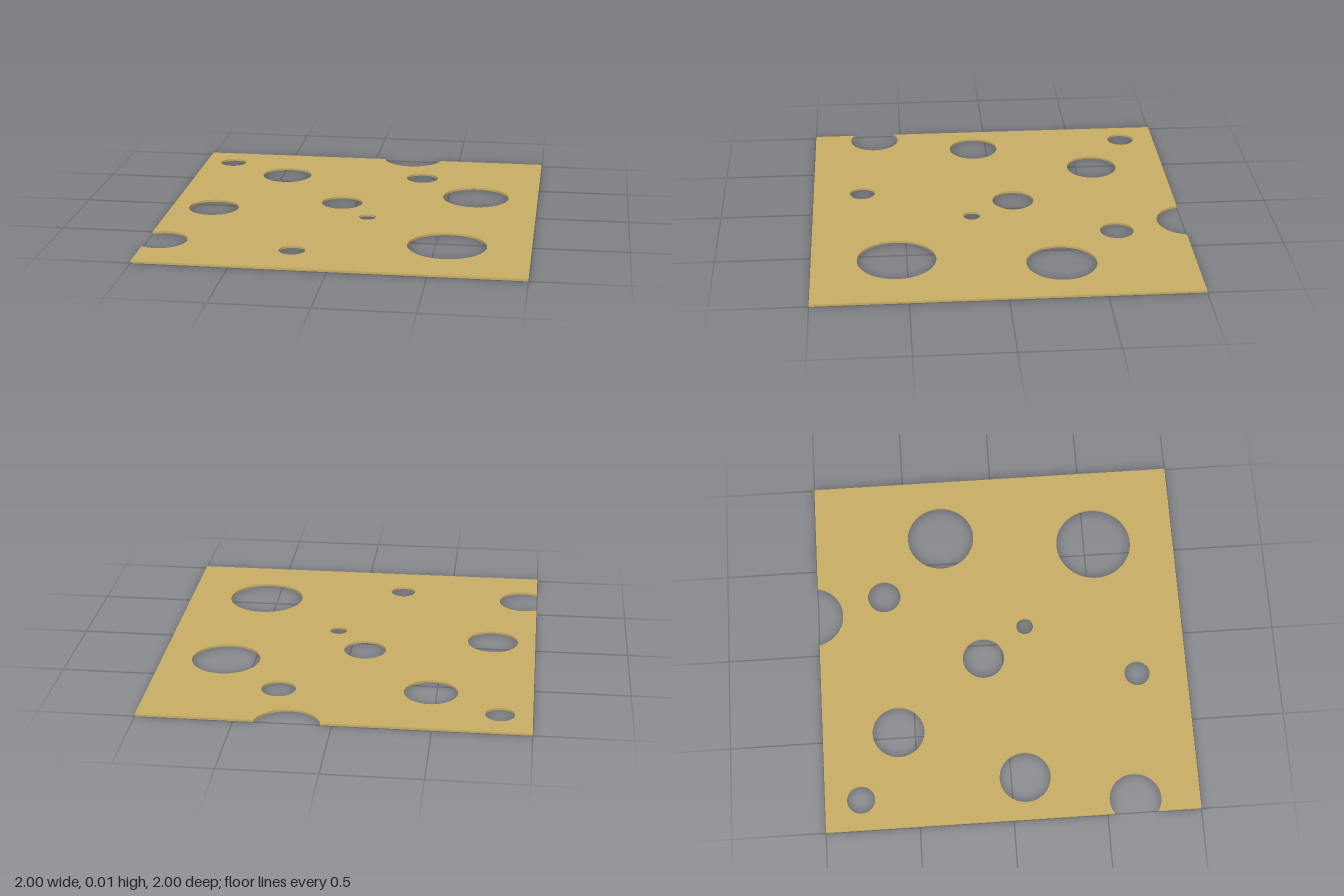
import * as THREE from 'three';

const THICKNESS = 0.012;

// Round holes: x, z, radius
const HOLES = [
  [-0.834, -0.807, 0.075],
  [-0.47, -0.59, 0.14],
  [0.32, -0.632, 0.09],
  [0.654, -0.3, 0.184],
  [-0.078, -0.105, 0.113],
  [-0.767, 0.075, 0.137],
  [0.094, 0.134, 0.046],
  [0.563, 0.554, 0.207],
  [-0.22, 0.728, 0.069],
];

export function createModel() {
  const cheese = new THREE.MeshStandardMaterial({ color: 0xc9ae65 });
  cheese.name = 'cheese yellow';

  // Square outline, drawn with y = -z, bitten by holes on the back and left edges
  const outline = new THREE.Shape();
  outline.moveTo(-1, -1);
  outline.lineTo(1, -1);
  outline.lineTo(1, 1);

  // Bite in the back edge
  const backR = 0.172, backY = 1.036;
  const a = Math.asin((backY - 1) / backR);
  outline.absarc(0.226, backY, backR, -a, -Math.PI + a, true);
  outline.lineTo(-1, 1);

  // Bite in the -x edge
  const sideR = 0.138, sideX = -0.925;
  const b = Math.acos((-1 - sideX) / sideR);
  outline.absarc(sideX, -0.654, sideR, b, -b, true);
  outline.closePath();

  for (const [x, z, r] of HOLES) {
    const hole = new THREE.Path();
    hole.absarc(x, -z, r, 0, Math.PI * 2, true);
    outline.holes.push(hole);
  }

  // Thin slice, laid flat on the ground
  const geometry = new THREE.ExtrudeGeometry(outline, {
    depth: THICKNESS,
    bevelEnabled: false,
    curveSegments: 32,
  });
  geometry.rotateX(-Math.PI / 2);

  const slice = new THREE.Mesh(geometry, cheese);
  slice.name = 'cheeseSlice';

  const group = new THREE.Group();
  group.name = 'cheese';
  group.add(slice);
  return group;
}
